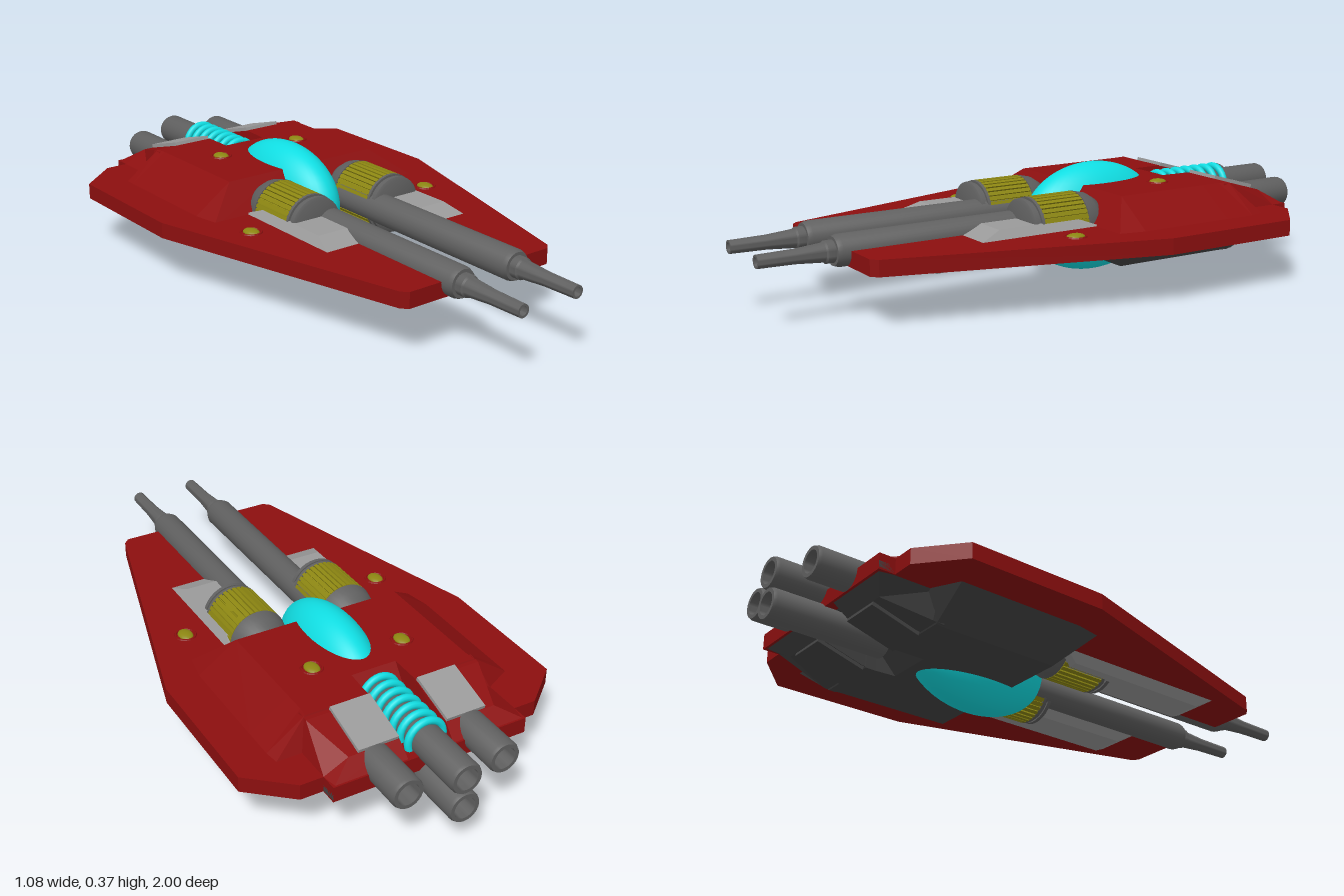
import * as THREE from 'three';
import { toCreasedNormals } from 'three/addons/utils/BufferGeometryUtils.js';

const mat = (color, flatShading = false) =>
  new THREE.MeshStandardMaterial({ color, flatShading, side: THREE.DoubleSide });
const RED = mat(0x8c0f0f, true), DARK = mat(0x444444, true), METAL = mat(0x606060);
const PAD = mat(0x9a9a9a, true), YELLOW = mat(0x8c8612), CYAN = mat(0x10dde2);
const MID = 0.195; // height of the symmetry plane of the hull

function add(parent, name, geometry, material, x = 0, y = 0, z = 0) {
  const mesh = new THREE.Mesh(geometry, material);
  mesh.name = name;
  mesh.position.set(x, y, z);
  parent.add(mesh);
  return mesh;
}

// Turned part along z; dir 1 points forward, -1 points backward. Profile is [radius, distance].
function turned(profile, dir = 1, segments = 24) {
  const pts = profile.map(([r, d]) => new THREE.Vector2(r, d));
  const g = new THREE.LatheGeometry(pts, segments);
  g.rotateX(dir * Math.PI / 2);
  return toCreasedNormals(g, 0.6);
}

// Skin over rings of equal length, listed from front to back.
function loft(rings, closed = false) {
  const pos = [], n = rings[0].length;
  for (let i = 0; i < rings.length - 1; i++) {
    for (let j = 0; j < (closed ? n : n - 1); j++) {
      const k = (j + 1) % n;
      const a = rings[i][j], b = rings[i][k], c = rings[i + 1][k], d = rings[i + 1][j];
      pos.push(...a, ...d, ...b, ...b, ...d, ...c);
    }
  }
  const g = new THREE.BufferGeometry();
  g.setAttribute('position', new THREE.Float32BufferAttribute(pos, 3));
  g.computeVertexNormals();
  return g;
}

// Half hull: sections [z, base half width, top half width, top height, channel height].
function hullShell(sections) {
  return loft(sections.map(([z, xb, xt, yt, yc]) => {
    const half = [[xb, 0], [xb, 0.025], [xt, yt], [0.08, yt], [0.075, yc]];
    const other = half.map(([x, y]) => [-x, y]).reverse();
    return [...half, ...other].map(([x, y]) => [x, Math.min(y, yt), z]);
  }));
}

// Slab with a smaller top face.
function frustum(x0, x1, z0, z1, h, inX, inZ) {
  const ring = (y, ix, iz) => [[x0 + ix, y, z0 + iz], [x1 - ix, y, z0 + iz],
    [x1 - ix, y, z1 - iz], [x0 + ix, y, z1 - iz]];
  const centre = ring(h, (x1 - x0) / 2, (z1 - z0) / 2);
  return loft([ring(0, 0, 0), ring(h, inX, inZ), centre], true);
}

function addHull(group) {
  // Flat wing plate with a slot at the front
  const half = [[0.115, 0.1], [0.115, 0.72], [0.275, 0.72], [0.295, 0.7], [0.54, -0.18],
    [0.54, -0.66], [0.405, -0.775], [0.33, -0.775], [0.33, -0.83]];
  const nose = [0.115, -0.1];
  const right = [nose, ...half];
  const outline = [...right, ...right.map(([x, z]) => [-x, z]).reverse()];
  const shape = new THREE.Shape(outline.map(([x, z]) => new THREE.Vector2(x, -z)));
  const plate = new THREE.ExtrudeGeometry(shape, { depth: 0.052, bevelEnabled: false });
  plate.rotateX(-Math.PI / 2);
  add(group, 'wingPlate', plate, RED, 0, 0.168, 0);

  // Upper red and lower dark hull shells
  const main = [[-0.065, 0.42, 0.42, 0.012, 0.012], [-0.165, 0.42, 0.29, 0.115, 0.115],
    [-0.5, 0.42, 0.29, 0.115, 0.115], [-0.57, 0.42, 0.29, 0.115, 0.04],
    [-0.605, 0.42, 0.295, 0.115, 0.04], [-0.655, 0.42, 0.33, 0.02, 0.02]];
  const rear = [[-0.58, 0.33, 0.3, 0.113, 0.03], [-0.62, 0.33, 0.3, 0.11, 0.03],
    [-0.775, 0.33, 0.25, 0.065, 0.03], [-0.83, 0.33, 0.33, 0.02, 0.02]];
  for (const side of [1, -1]) {
    const shell = new THREE.Group();
    shell.name = side > 0 ? 'upperHull' : 'lowerHull';
    shell.position.y = MID;
    shell.scale.y = side;
    const m = side > 0 ? RED : DARK;
    add(shell, 'mainShell', hullShell(main), m);
    add(shell, 'rearShell', hullShell(rear), m);
    for (const s of [1, -1]) {
      const vent = add(shell, 'vent', new THREE.BoxGeometry(0.135, 0.022, 0.17),
        side > 0 ? PAD : DARK, s * 0.15, 0.09, -0.692);
      vent.rotation.x = -0.28;
    }
    group.add(shell);
  }

  // Cockpit pod
  const pod = new THREE.SphereGeometry(1, 40, 28);
  pod.scale(0.115, 0.185, 0.262);
  add(group, 'cockpit', pod, CYAN, 0, 0.186, -0.25);
}

function addEngines(group) {
  // Hollow exhaust pipes
  const pipe = (length) => turned([[0, 0], [0.052, 0], [0.052, length - 0.01], [0.048, length],
    [0.036, length], [0.034, length - 0.07], [0, length - 0.07]], -1);
  add(group, 'upperExhaust', pipe(0.48), METAL, 0, 0.24, -0.52);
  add(group, 'lowerExhaust', pipe(0.4), METAL, 0, 0.137, -0.6);
  for (const s of [1, -1]) add(group, 'sideExhaust', pipe(0.25), METAL, s * 0.163, 0.22, -0.705);

  // Coil around the upper exhaust
  for (let i = 0; i < 7; i++) {
    add(group, 'coilRing', new THREE.TorusGeometry(0.06, 0.012, 10, 28), CYAN,
      0, 0.243, -0.54 - i * 0.0415);
  }
}

function addGun(group, s) {
  const gun = new THREE.Group();
  gun.name = s > 0 ? 'leftGun' : 'rightGun';

  // Stepped barrel with a hollow muzzle
  add(gun, 'barrel', turned([[0, -0.05], [0.05, -0.05], [0.05, 0.745], [0.045, 0.76], [0.035, 0.76],
    [0.035, 0.785], [0.03, 0.79], [0.023, 0.88], [0.021, 1], [0.014, 1], [0.014, 0.94],
    [0, 0.94]]), METAL, s * 0.107, 0.215, 0);

  // Drum: domed back, ribbed middle, stepped front flange
  const drum = new THREE.Group();
  drum.name = 'drum';
  drum.position.set(s * 0.163, 0.218, 0);
  gun.add(drum);
  add(drum, 'drumDome', turned([[0, -0.165], [0.04, -0.157], [0.07, -0.137], [0.09, -0.105],
    [0.099, -0.065], [0, -0.065]], 1, 32), METAL);
  add(drum, 'drumCore', turned([[0.092, -0.065], [0.092, 0.105]], 1, 32), YELLOW);
  const ribs = 36;
  for (let i = 0; i < ribs; i++) {
    const a = i / ribs * Math.PI * 2;
    const rib = add(drum, 'drumRib', new THREE.BoxGeometry(0.012, 0.008, 0.165), YELLOW,
      -Math.sin(a) * 0.094, Math.cos(a) * 0.094, 0.02);
    rib.rotation.z = a;
  }
  add(drum, 'drumFlange', turned([[0, 0.1], [0.098, 0.1], [0.098, 0.112], [0.09, 0.112],
    [0.09, 0.122], [0.095, 0.122], [0.095, 0.135], [0.085, 0.14], [0, 0.14]], 1, 32), METAL);

  // Mounting pads above and below the wing
  const x0 = s > 0 ? 0.115 : -0.28, x1 = s > 0 ? 0.28 : -0.115;
  add(gun, 'upperPad', frustum(x0, x1, 0.35, -0.1, 0.03, 0.025, -0.08), PAD, 0, 0.217, 0);
  const lower = add(gun, 'lowerPad', frustum(x0, x1, 0.55, -0.1, 0.03, 0.025, -0.06), PAD, 0, 0.17, 0);
  lower.scale.y = -1;
  group.add(gun);
}

function addLight(group, x, y, z) {
  // Small domed lamp in a ring
  const dome = new THREE.SphereGeometry(1, 16, 10);
  dome.scale(0.024, 0.011, 0.032);
  add(group, 'lampDome', dome, YELLOW, x, y, z);
  const ring = new THREE.TorusGeometry(0.033, 0.004, 6, 20);
  ring.rotateX(Math.PI / 2);
  add(group, 'lampRing', ring, RED, x, y, z);
}

export function createModel() {
  const group = new THREE.Group();
  group.name = 'spacecraft';
  addHull(group);
  addEngines(group);
  for (const s of [1, -1]) {
    addGun(group, s);
    addLight(group, s * 0.16, 0.31, -0.41);
    addLight(group, s * 0.36, 0.22, 0.06);
  }
  return group;
}
